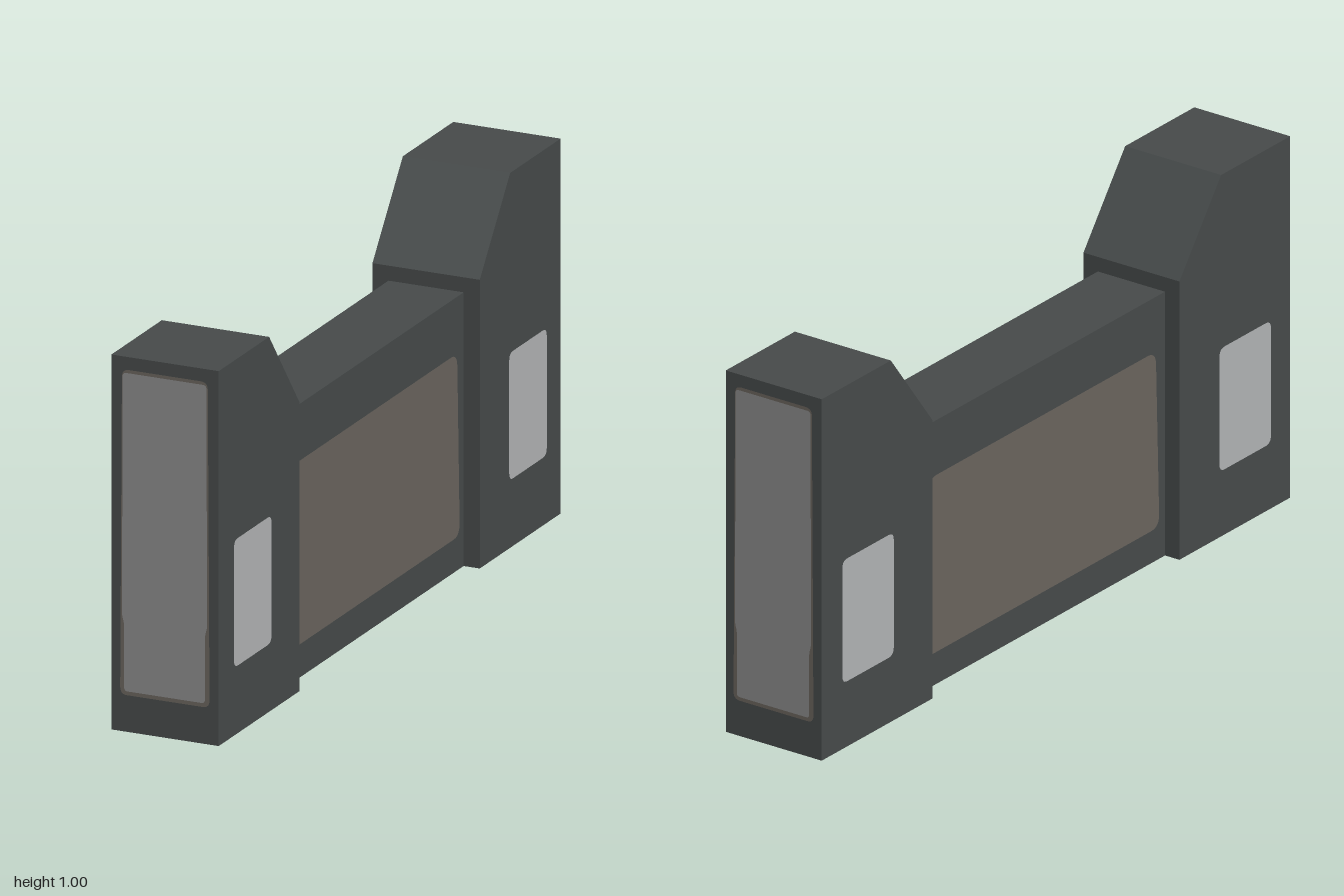
import * as THREE from 'three';

const material = (name, color) => Object.assign(new THREE.MeshStandardMaterial({ color }), { name });

// Closed outline with each corner rounded by radius r
function roundedShape(points, r) {
  const v = points.map(([x, y]) => new THREE.Vector2(x, y));
  const shape = new THREE.Shape();
  v.forEach((p, i) => {
    const a = v[(i + v.length - 1) % v.length], b = v[(i + 1) % v.length];
    const toward = (q) => p.clone().add(q.clone().sub(p).setLength(Math.min(r, q.distanceTo(p) / 2)));
    const s = toward(a), e = toward(b);
    if (i === 0) shape.moveTo(s.x, s.y);
    else shape.lineTo(s.x, s.y);
    shape.quadraticCurveTo(p.x, p.y, e.x, e.y);
  });
  shape.closePath();
  return shape;
}

const rect = (w, h) => [[-w / 2, -h / 2], [w / 2, -h / 2], [w / 2, h / 2], [-w / 2, h / 2]];

export function createModel() {
  const model = new THREE.Group();
  model.name = 'barrierWall';
  const dark = material('darkSlate', 0x474b4b);
  const grey = material('panelGrey', 0x8d8d8d);
  const light = material('lightGrey', 0xb3b5b6);
  const brown = material('warmBrown', 0x6b655e);

  const add = (parent, name, geometry, mat) => {
    const mesh = new THREE.Mesh(geometry, mat);
    mesh.name = name;
    parent.add(mesh);
    return mesh;
  };
  const plate = (parent, name, points, r, mat) =>
    add(parent, name, new THREE.ShapeGeometry(roundedShape(points, r), 6), mat);

  // Central wall with an inset-coloured panel on both sides
  add(model, 'centralWall', new THREE.BoxGeometry(0.21, 0.73, 1.08), dark).position.y = 0.365;
  for (const side of [1, -1]) {
    const panel = plate(model, 'wallPanel',
      [[-0.5, 0.09], [0.5, 0.09], [0.485, 0.58], [-0.485, 0.58]], 0.035, brown);
    panel.position.x = side * 0.107;
    panel.rotation.y = side * Math.PI / 2;
  }

  // End post, facing +z, with a sloped inner shoulder
  const profile = new THREE.Shape([[-1, 0], [-0.527, 0], [-0.527, 0.77], [-0.705, 1], [-1, 1]]
    .map(([x, y]) => new THREE.Vector2(x, y)));
  const postGeometry = new THREE.ExtrudeGeometry(profile, { depth: 0.3, bevelEnabled: false })
    .translate(0, 0, -0.15).rotateY(Math.PI / 2);

  for (const end of [1, -1]) {
    const post = new THREE.Group();
    post.name = end > 0 ? 'frontPost' : 'backPost';
    post.rotation.y = end > 0 ? 0 : Math.PI;
    model.add(post);
    add(post, 'postBody', postGeometry, dark);

    // Tall end panel with a thin brown border
    plate(post, 'endPanelBorder',
      [[-0.125, 0.098], [0.125, 0.098], [0.12, 0.966], [-0.12, 0.966]], 0.02, brown).position.z = 1.001;
    plate(post, 'endPanel',
      [[-0.113, 0.109], [0.113, 0.109], [0.113, 0.29], [0.119, 0.31], [0.117, 0.958],
        [-0.117, 0.958], [-0.119, 0.31], [-0.113, 0.29]], 0.01, grey).position.z = 1.003;

    // Side windows
    for (const side of [1, -1]) {
      const win = plate(post, 'sideWindow', rect(0.22, 0.34), 0.022, light);
      win.position.set(side * 0.152, 0.352, 0.805);
      win.rotation.y = side * Math.PI / 2;
    }

    // Foot pad on the underside
    const pad = plate(post, 'footPad', rect(0.2, 0.33), 0.05, grey);
    pad.position.set(0, -0.001, 0.765);
    pad.rotation.x = Math.PI / 2;
  }
  return model;
}
